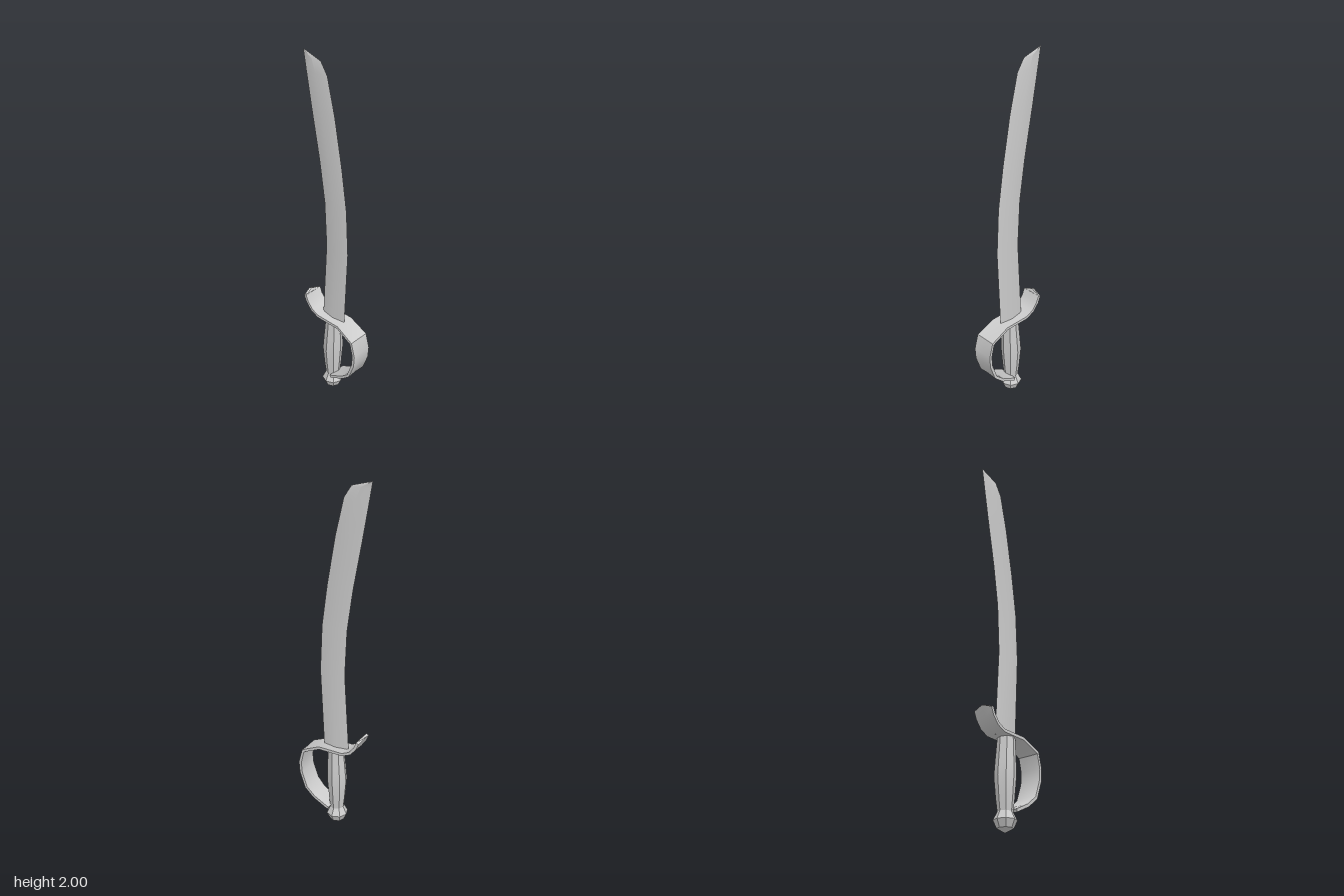
import * as THREE from 'three';
import { toCreasedNormals } from 'three/addons/utils/BufferGeometryUtils.js';

const material = new THREE.MeshStandardMaterial({ color: 0xcccccc });

// Skin a list of rings ([x, y, z] points, counter-clockwise seen from ahead), closed at both ends
function loft(name, rings, crease) {
  const n = rings[0].length, pos = [];
  const tri = (...points) => points.forEach(p => pos.push(...p));
  for (let k = 0; k < rings.length - 1; k++) {
    for (let i = 0; i < n; i++) {
      const j = (i + 1) % n, a = rings[k], b = rings[k + 1];
      tri(a[i], a[j], b[j]);
      tri(a[i], b[j], b[i]);
    }
  }
  const first = rings[0], last = rings[rings.length - 1];
  for (let i = 1; i < n - 1; i++) {
    tri(first[0], first[i + 1], first[i]);
    tri(last[0], last[i], last[i + 1]);
  }
  const geometry = new THREE.BufferGeometry();
  geometry.setAttribute('position', new THREE.Float32BufferAttribute(pos, 3));
  const mesh = new THREE.Mesh(toCreasedNormals(geometry, crease), material);
  mesh.name = name;
  return mesh;
}

// Curved blade with a diamond section: y, back edge x, cutting edge x, half thickness
function makeBlade() {
  const rows = [
    [0.48, -0.085, 0.07, 0.013], [0.94, -0.058, 0.092, 0.013],
    [1.2, -0.07, 0.08, 0.013], [1.43, -0.103, 0.048, 0.013],
    [1.7, -0.153, 0, 0.013], [1.9, -0.188, -0.048, 0.011],
    [1.965, -0.199, -0.09, 0.006], [2, -0.205, -0.203, 0.0005],
  ];
  const z = -0.003;
  return loft('blade', rows.map(([y, l, r, t]) => {
    const m = (l + r) / 2;
    return [[r, y, z], [m, y, z - t], [l, y, z], [m, y, z + t]];
  }), 0.7);
}

// Knuckle guard: a wide, thin strip swept along a bent path
function makeGuard() {
  const path = [
    [-0.17, 0.59], [-0.155, 0.553], [-0.122, 0.512], [-0.075, 0.49],
    [0.07, 0.486], [0.175, 0.435], [0.195, 0.355], [0.19, 0.29],
    [0.158, 0.2], [0.105, 0.152], [0.015, 0.108],
  ].map(p => new THREE.Vector2(...p));
  const half = 0.008;
  const rings = path.map((p, k) => {
    const t = path[Math.min(k + 1, path.length - 1)].clone()
      .sub(path[Math.max(k - 1, 0)]).normalize();
    const front = k > 4 && k < 9 ? 0.061 : 0.053;
    const peak = k === 0 ? 0.02 : 0;
    const at = (off, z, back = 0) =>
      [p.x - t.y * off - t.x * back, p.y + t.x * off - t.y * back, z];
    return [
      at(half, -0.06), at(half - 0.003, 0, peak), at(half, front),
      at(-half, front), at(-half - 0.003, 0, peak), at(-half, -0.06),
    ];
  });
  return loft('guard', rings, 0.75);
}

// Eight-sided grip, swelling in the middle: y, centre x, radius
function makeGrip() {
  const rows = [
    [0.09, -0.01, 0.038], [0.17, -0.011, 0.047], [0.28, -0.011, 0.056],
    [0.37, -0.007, 0.052], [0.485, -0.003, 0.045],
  ];
  return loft('grip', rows.map(([y, cx, r]) =>
    Array.from({ length: 8 }, (_, i) => {
      const a = i * Math.PI / 4;
      return [cx + r * Math.cos(a), y, -r * Math.sin(a)];
    })), 0.6);
}

// Faceted pommel
function makePommel() {
  const profile = [[0, 0], [0.042, 0.022], [0.06, 0.062], [0.036, 0.11], [0, 0.115]];
  const geometry = new THREE.LatheGeometry(profile.map(p => new THREE.Vector2(...p)), 8);
  const flat = material.clone();
  flat.flatShading = true;
  const mesh = new THREE.Mesh(geometry, flat);
  mesh.name = 'pommel';
  mesh.position.x = -0.011;
  return mesh;
}

export function createModel() {
  const group = new THREE.Group();
  group.name = 'sabre';
  group.add(makeBlade(), makeGuard(), makeGrip(), makePommel());
  return group;
}
